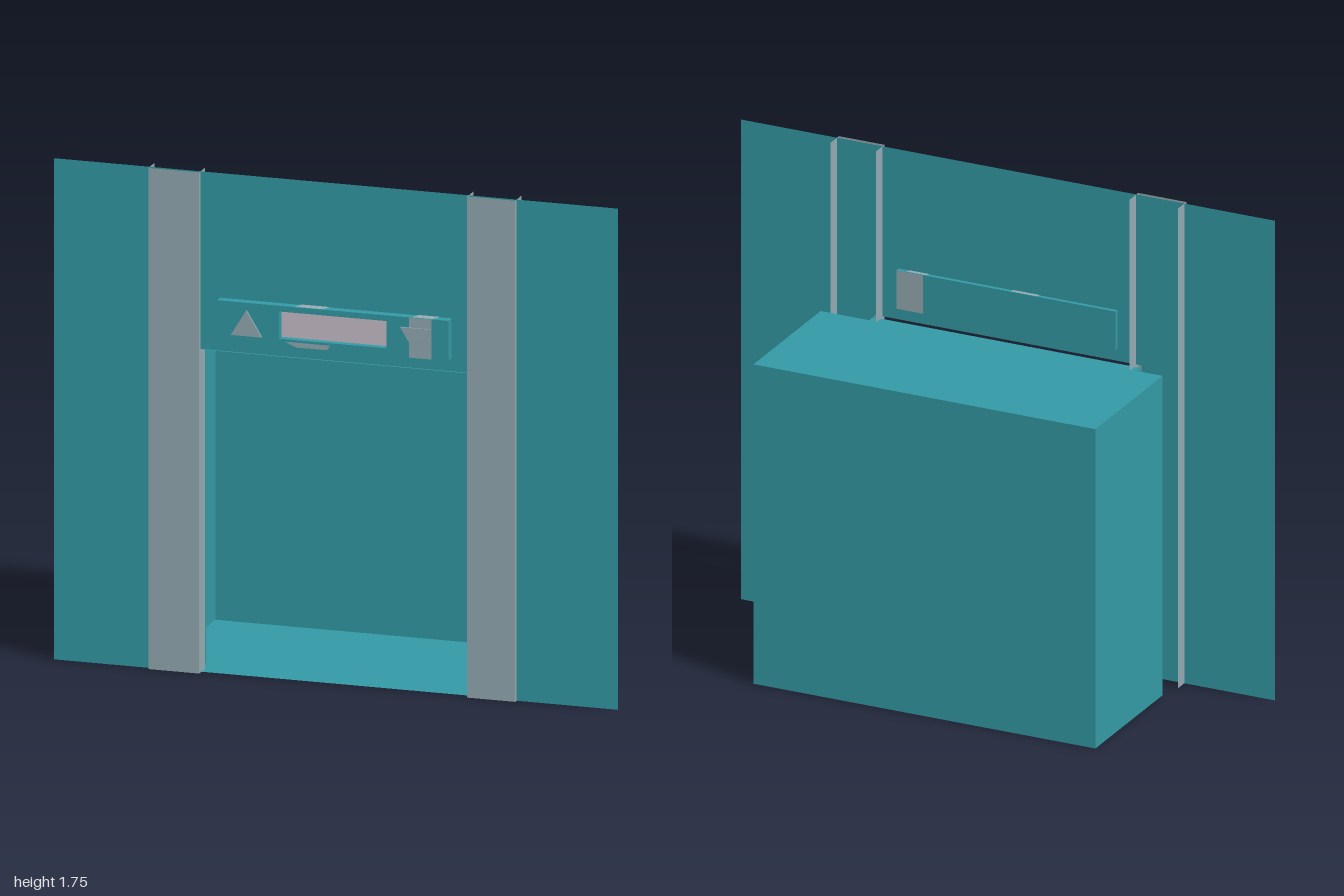
import * as THREE from 'three';

const D = THREE.DoubleSide;
const teal = new THREE.MeshStandardMaterial({ color: 0x3399a4, side: D });
teal.name = 'teal panel';
const grey = new THREE.MeshStandardMaterial({ color: 0x93a9b1, side: D });
grey.name = 'grey metal';
const pink = new THREE.MeshStandardMaterial({ color: 0xcabfca, side: D });
pink.name = 'pale display';

// Box between two corners; "open" lists sides to leave out (0 +x, 1 -x, 2 +y, 3 -y, 4 +z, 5 -z)
function box(name, mat, [x0, y0, z0], [x1, y1, z1], open = []) {
  const geo = new THREE.BoxGeometry(x1 - x0, y1 - y0, z1 - z0);
  const index = Array.from(geo.index.array);
  geo.setIndex(index.filter((_, i) => !open.includes(Math.floor(i / 6))));
  geo.clearGroups();
  geo.translate((x0 + x1) / 2, (y0 + y1) / 2, (z0 + z1) / 2);
  const mesh = new THREE.Mesh(geo, mat);
  mesh.name = name;
  return mesh;
}

const vectors = (pts) => pts.map(([x, y]) => new THREE.Vector2(x, y));
const rect = (x0, y0, x1, y1) => [[x0, y0], [x1, y0], [x1, y1], [x0, y1]];

// Flat sheet facing +z, or a slab when depth is given, with optional holes
function sheet(name, mat, pts, z, depth = 0, holes = []) {
  const shape = new THREE.Shape(vectors(pts));
  holes.forEach((h) => shape.holes.push(new THREE.Path(vectors(h))));
  const geo = depth
    ? new THREE.ExtrudeGeometry(shape, { depth, bevelEnabled: false })
    : new THREE.ShapeGeometry(shape);
  const mesh = new THREE.Mesh(geo, mat);
  mesh.name = name;
  mesh.position.z = z;
  return mesh;
}

// Outline with a doorway notch cut out of its lower edge
const archway = (w, h, dw, dh) => [
  [-w, 0], [-dw, 0], [-dw, dh], [dw, dh], [dw, 0], [w, 0], [w, h], [-w, h],
];

export function createModel() {
  const model = new THREE.Group();
  model.name = 'elevator';

  // Landing wall
  model.add(sheet('landingWall', teal, archway(1, 1.75, 0.5, 1.13), 0.3));

  // Cab shell, its front return and the doorway tunnel
  model.add(box('cabShell', teal, [-0.64, 0, -0.34], [0.64, 1.165, 0.175], [4]));
  model.add(sheet('cabFrontReturn', teal, archway(0.64, 1.165, 0.5, 1.125), 0.175));
  model.add(box('doorwayTunnel', teal, [-0.5, 0, 0.175], [0.5, 1.125, 0.29], [4, 5]));

  // Channel-shaped pilasters, open at the top, bottom and back
  for (const [x0, x1, side] of [[-0.66, -0.48, 'right'], [0.47, 0.64, 'left']]) {
    model.add(box(side + 'Pilaster', grey, [x0, 0, 0.25], [x1, 1.75, 0.315], [2, 3, 5]));
  }

  // Indicator panel with a recessed display
  const panel = new THREE.Group();
  panel.name = 'indicatorPanel';
  panel.add(box('panelBack', teal, [-0.41, 1.175, 0.285], [0.41, 1.315, 0.305]));
  panel.add(sheet('panelFront', teal, rect(-0.41, 1.175, 0.41, 1.315), 0.305, 0.029,
    [rect(-0.19, 1.2, 0.19, 1.295)]));
  panel.add(sheet('display', pink, rect(-0.19, 1.2, 0.19, 1.295), 0.308));

  // Direction arrows
  panel.add(sheet('upArrow', grey, [[-0.36, 1.2], [-0.25, 1.2], [-0.305, 1.29]], 0.334, 0.006));
  panel.add(sheet('downArrow', grey, [[0.24, 1.28], [0.295, 1.19], [0.35, 1.28]], 0.334, 0.006));

  // Grey patches on the panel's front, back and top
  panel.add(sheet('frontPatch', grey, rect(0.27, 1.175, 0.35, 1.315), 0.3355));
  panel.add(sheet('lowerPatch', grey,
    [[-0.13, 1.175], [-0.02, 1.175], [-0.01, 1.192], [-0.17, 1.192]], 0.3355));
  panel.add(sheet('backPatch', grey, rect(0.31, 1.175, 0.41, 1.315), 0.2835));
  for (const [x, w] of [[-0.135, 0.1], [0.28, 0.075]]) {
    const patch = sheet('topPatch', grey,
      [[x, -0.334], [x + w, -0.334], [x + w + 0.02, -0.286], [x + 0.02, -0.286]], 0);
    patch.rotation.x = -Math.PI / 2;
    patch.position.y = 1.3165;
    panel.add(patch);
  }
  model.add(panel);
  return model;
}
